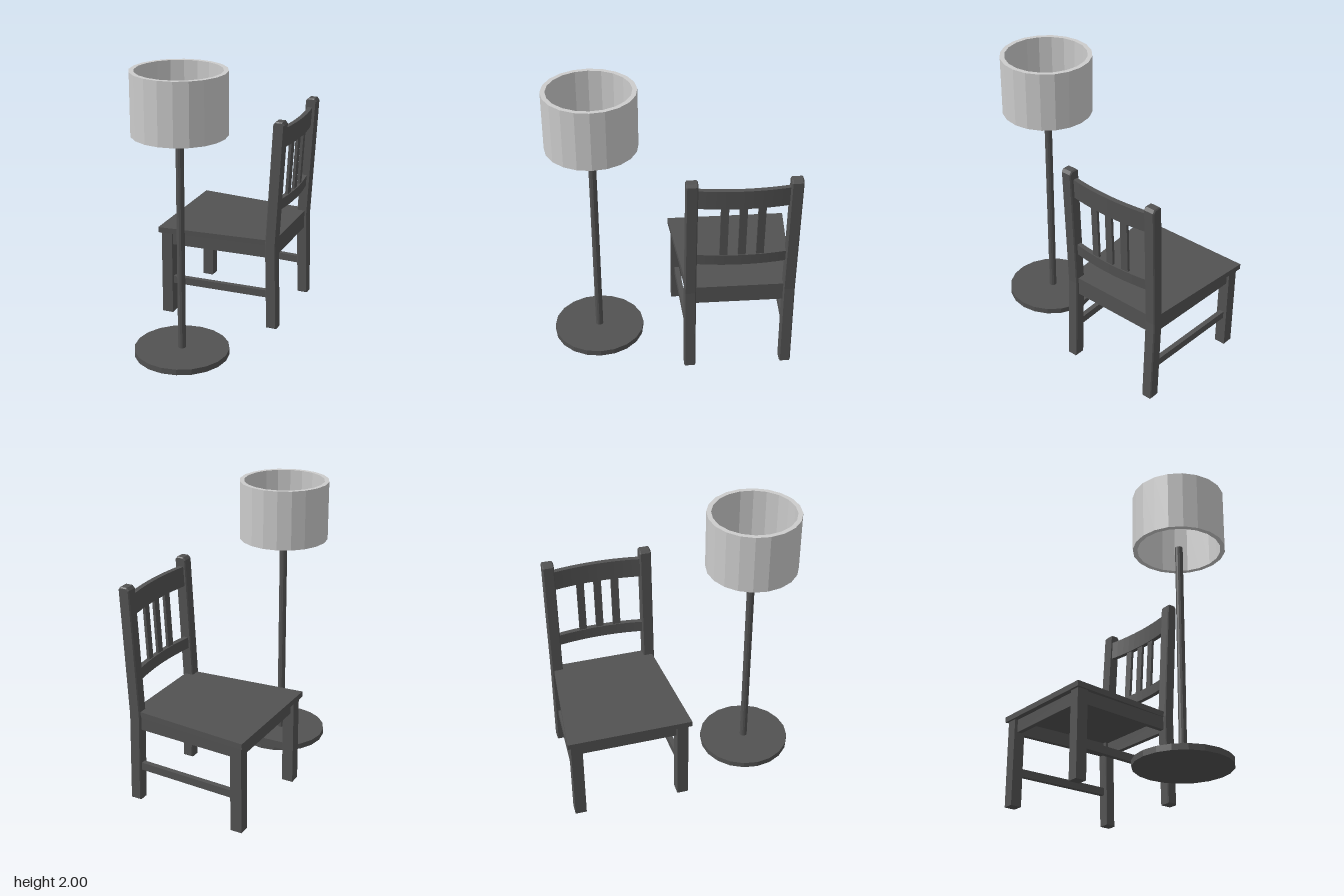
import * as THREE from 'three';

const dark = new THREE.MeshStandardMaterial({ color: 0x525252, flatShading: true });
const light = new THREE.MeshStandardMaterial({ color: 0xcccccc, flatShading: true });

function add(parent, name, geometry, material = dark) {
  const mesh = new THREE.Mesh(geometry, material);
  mesh.name = name;
  parent.add(mesh);
  return mesh;
}

// Straight bar running from (x0, z0) to (x1, z1) in plan, between heights y0 and y1
function beam(parent, name, x0, z0, x1, z1, y0, y1, thickness) {
  const length = Math.hypot(x1 - x0, z1 - z0);
  const bar = add(parent, name, new THREE.BoxGeometry(length, y1 - y0, thickness));
  bar.position.set((x0 + x1) / 2, (y0 + y1) / 2, (z0 + z1) / 2);
  bar.rotation.y = -Math.atan2(z1 - z0, x1 - x0);
}

// Piece of the backrest: follows the backward lean and the shallow bow across the width
function backPiece(parent, name, zMid, width, y0, y1, thickness, segments) {
  const geometry = new THREE.BoxGeometry(thickness, y1 - y0, width, 1, 1, segments);
  geometry.translate(0, (y0 + y1) / 2, zMid);
  const p = geometry.attributes.position;
  for (let i = 0; i < p.count; i++) {
    const lean = 0.052 * (p.getY(i) - 0.92);
    const bow = 0.027 * (1 - (p.getZ(i) / 0.31) ** 2);
    p.setX(i, p.getX(i) + 0.387 + lean + bow);
  }
  geometry.computeVertexNormals();
  add(parent, name, geometry);
}

function createChair() {
  const chair = new THREE.Group();
  chair.name = 'chair';

  // Tapered seat board
  const seatShape = new THREE.Shape([
    [-0.47, -0.437], [0.4, -0.364], [0.4, 0.364], [-0.47, 0.437],
  ].map(([x, z]) => new THREE.Vector2(x, z)));
  const seat = new THREE.ExtrudeGeometry(seatShape, { depth: 0.04, bevelEnabled: false });
  seat.rotateX(-Math.PI / 2);
  add(chair, 'seat', seat).position.y = 0.635;

  // Bent rear posts with chamfered ends
  const bevel = 0.007;
  const postShape = new THREE.Shape([
    [0.363, 0.007], [0.428, 0.007], [0.412, 0.64], [0.458, 1.528], [0.446, 1.544],
    [0.404, 1.544], [0.391, 1.53], [0.345, 0.64],
  ].map(([x, y]) => new THREE.Vector2(x, y)));
  const post = new THREE.ExtrudeGeometry(postShape, {
    depth: 0.08 - 2 * bevel, bevelThickness: bevel, bevelSize: bevel, bevelSegments: 1,
  });
  post.translate(0, 0, -0.04 + bevel);

  for (const side of [-1, 1]) {
    add(chair, 'rearPost', post).position.z = side * 0.344;
    const leg = add(chair, 'frontLeg', new THREE.BoxGeometry(0.082, 0.635, 0.08));
    leg.position.set(-0.413, 0.3175, side * 0.375);
    beam(chair, 'sideApron', -0.41, side * 0.38, 0.38, side * 0.343, 0.54, 0.636, 0.035);
    beam(chair, 'sideStretcher', -0.41, side * 0.375, 0.385, side * 0.344, 0.23, 0.285, 0.035);
  }
  beam(chair, 'frontApron', -0.413, -0.36, -0.413, 0.36, 0.54, 0.636, 0.035);
  beam(chair, 'rearApron', 0.38, -0.33, 0.38, 0.33, 0.54, 0.636, 0.035);

  // Bowed rails and slats
  backPiece(chair, 'topRail', 0, 0.62, 1.345, 1.485, 0.035, 10);
  backPiece(chair, 'lowerRail', 0, 0.62, 0.88, 0.96, 0.035, 10);
  for (const z of [-0.124, 0, 0.124]) {
    backPiece(chair, 'backSlat', z, 0.053, 0.95, 1.355, 0.02, 1);
  }
  chair.position.z = -0.435;
  return chair;
}

function createLamp() {
  const lamp = new THREE.Group();
  lamp.name = 'floorLamp';
  add(lamp, 'lampBase', new THREE.CylinderGeometry(0.328, 0.328, 0.041, 20)).position.y = 0.0325;
  add(lamp, 'lampPole', new THREE.CylinderGeometry(0.027, 0.027, 1.55, 12)).position.y = 0.825;

  // Open drum shade with a thick wall
  const wall = [[0.318, 1.58], [0.318, 2], [0.286, 2], [0.286, 1.58], [0.318, 1.58]];
  const shade = new THREE.LatheGeometry(wall.map(([r, y]) => new THREE.Vector2(r, y)), 20);
  add(lamp, 'lampShade', shade, light);
  lamp.position.set(-0.035, 0, 0.545);
  return lamp;
}

export function createModel() {
  const model = new THREE.Group();
  model.name = 'chairAndLamp';
  model.add(createChair(), createLamp());
  return model;
}
